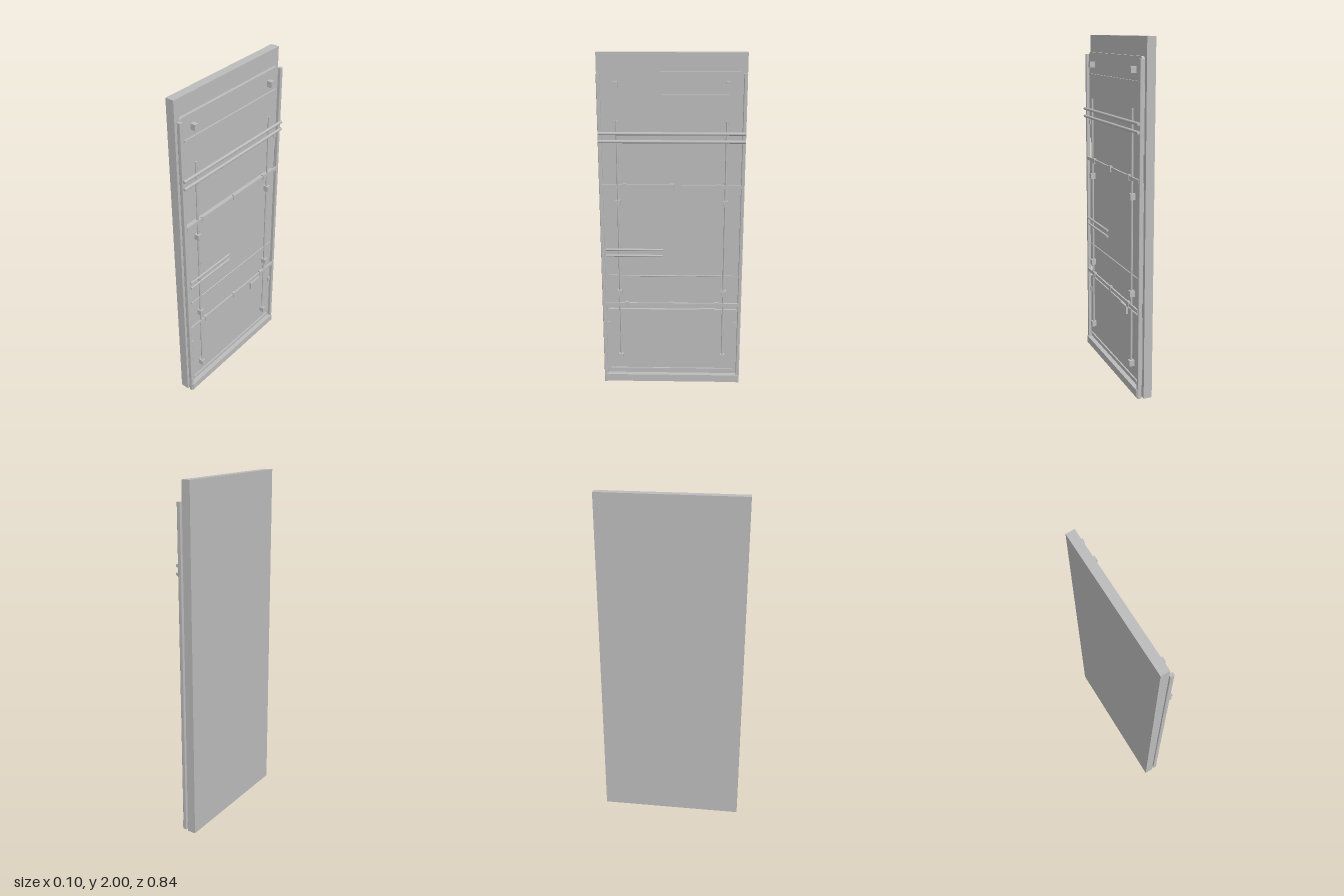
import * as THREE from 'three';

export function createModel() {
  const model = new THREE.Group();
  model.name = 'panelledDoor';
  const grey = new THREE.MeshStandardMaterial({ color: 0xbcbcbc });
  grey.name = 'plain grey';

  const add = (name, geometry) => {
    const mesh = new THREE.Mesh(geometry, grey);
    mesh.name = name;
    model.add(mesh);
    return mesh;
  };
  // box given by its extents along x, y and z
  const box = (name, x0, x1, y0, y1, z0, z1) =>
    add(name, new THREE.BoxGeometry(x1 - x0, y1 - y0, z1 - z0))
      .position.set((x0 + x1) / 2, (y0 + y1) / 2, (z0 + z1) / 2);
  // horizontal rod running along z
  const rod = (name, x, y, z0, z1, r) => {
    const geometry = new THREE.CylinderGeometry(r, r, z1 - z0, 12).rotateX(Math.PI / 2);
    add(name, geometry).position.set(x, y, (z0 + z1) / 2);
  };
  // rounded outline in the horizontal and vertical directions
  const roundedShape = (x0, x1, y0, y1, r) => {
    const s = new THREE.Shape();
    s.absarc(x1 - r, y0 + r, r, -Math.PI / 2, 0);
    s.absarc(x1 - r, y1 - r, r, 0, Math.PI / 2);
    s.absarc(x0 + r, y1 - r, r, Math.PI / 2, Math.PI);
    s.absarc(x0 + r, y0 + r, r, Math.PI, Math.PI * 1.5);
    s.closePath();
    return s;
  };

  // backing slab
  box('backSlab', -0.05, 0, 0, 2, -0.418, 0.418);

  // three raised panels with rounded corners
  for (const [y0, y1] of [[0.06, 0.485], [0.55, 1.25], [1.38, 1.9]]) {
    const geometry = new THREE.ExtrudeGeometry(
      roundedShape(-0.395, 0.395, y0, y1, 0.02),
      { depth: 0.017, bevelEnabled: false, curveSegments: 5 });
    add('raisedPanel', geometry.rotateY(Math.PI / 2));
  }

  // thin ribs across the panels
  for (const y of [0.09, 1.77]) box('panelRib', 0.016, 0.026, y - 0.004, y + 0.004, -0.375, 0.375);
  rod('thinRod', 0.022, 0.705, -0.375, 0.375, 0.004);

  // side rails, upright rods, pads and clamp blocks, mirrored
  for (const side of [-1, 1]) {
    const rail = new THREE.ExtrudeGeometry(
      roundedShape(0.012, 0.035, -0.01, 0.01, 0.004),
      { depth: 1.885, bevelEnabled: false, curveSegments: 3 });
    add('sideRail', rail.rotateX(-Math.PI / 2)).position.set(0, 0.003, side * 0.406);

    add('uprightRod', new THREE.CylinderGeometry(0.006, 0.006, 1.45, 10))
      .position.set(0.031, 0.905, side * 0.308);

    for (const y of [0.18, 0.6, 1.155, 1.83]) {
      const z = side * 0.31;
      box('clampBlock', 0.015, 0.047, y - 0.017, y + 0.017, z - 0.013, z + 0.013);
    }
    for (const y of [0.39, 1.48]) {
      const z = side * 0.383;
      box('sidePad', 0.016, 0.024, y - 0.015, y + 0.015, z - 0.01, z + 0.01);
    }
  }

  // cross rails with small clips
  for (const y of [0.525, 1.255]) {
    box('crossRail', 0.028, 0.038, y - 0.01, y + 0.01, -0.4, 0.4);
    for (const z of [-0.27, 0, 0.27]) {
      box('railClip', 0.026, 0.042, y - 0.016, y + 0.016, z - 0.012, z + 0.012);
    }
  }

  // long paired bars and short paired bars
  for (const y of [1.515, 1.56]) rod('longBar', 0.041, y, -0.413, 0.413, 0.009);
  for (const y of [0.835, 0.872]) rod('shortBar', 0.035, y, 0.05, 0.387, 0.007);

  // bottom sill and latch box
  box('bottomSill', 0.01, 0.041, 0.01, 0.055, -0.41, 0.41);
  box('latchBox', 0.03, 0.041, 0.458, 0.502, -0.255, -0.165);

  return model;
}
